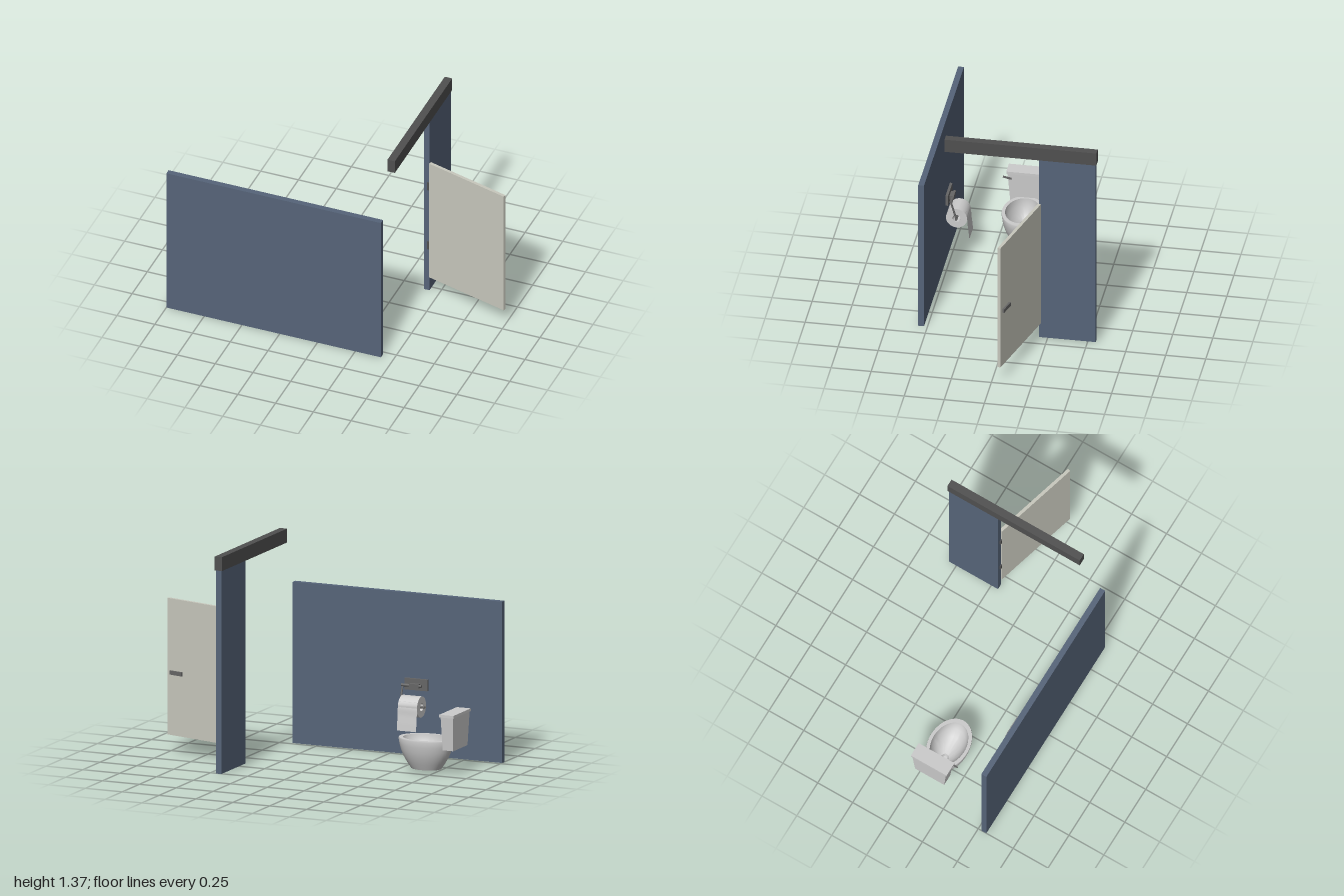
import * as THREE from 'three';
import { toCreasedNormals } from 'three/addons/utils/BufferGeometryUtils.js';

const mat = (color, extra = {}) => new THREE.MeshStandardMaterial({ color, ...extra });
const blue = mat(0x566479);
const cream = mat(0xc8c8bd);
const dark = mat(0x505050);
const metal = mat(0x666666);
const grey = mat(0xcccccc);
const paper = mat(0xcccccc, { side: THREE.DoubleSide });

function add(parent, name, geometry, material) {
  const mesh = new THREE.Mesh(geometry, material);
  mesh.name = name;
  parent.add(mesh);
  return mesh;
}

// Box given by its low and high corners
function box(parent, name, material, [x0, y0, z0], [x1, y1, z1]) {
  const mesh = add(parent, name, new THREE.BoxGeometry(x1 - x0, y1 - y0, z1 - z0), material);
  mesh.position.set((x0 + x1) / 2, (y0 + y1) / 2, (z0 + z1) / 2);
  return mesh;
}

// Round rod between two points
function rod(parent, name, material, a, b, radius) {
  const from = new THREE.Vector3(...a), to = new THREE.Vector3(...b);
  const dir = to.clone().sub(from);
  const mesh = add(parent, name, new THREE.CylinderGeometry(radius, radius, dir.length(), 16), material);
  mesh.position.copy(from).add(to).multiplyScalar(0.5);
  mesh.quaternion.setFromUnitVectors(new THREE.Vector3(0, 1, 0), dir.normalize());
  return mesh;
}

function group(parent, name) {
  const g = new THREE.Group();
  g.name = name;
  parent.add(g);
  return g;
}

// Oval surface from [radius along x, height, x shift] rows
function ovalSurface(rows) {
  const geo = new THREE.LatheGeometry(rows.map(([r, y]) => new THREE.Vector2(r, y)), 48);
  const pos = geo.attributes.position;
  for (let i = 0; i < pos.count; i++) {
    pos.setX(i, pos.getX(i) + (rows[i % rows.length][2] || 0));
    pos.setZ(i, pos.getZ(i) * 0.72);
  }
  geo.computeVertexNormals();
  return toCreasedNormals(geo, 0.6);
}

function buildToilet(root) {
  const toilet = group(root, 'toilet');
  toilet.position.set(-0.682, 0, 0.1);

  // Bowl: foot, outer wall, rim and offset basin
  add(toilet, 'bowl', ovalSurface([
    [0, 0.02], [0.098, 0.02], [0.122, 0.055], [0.146, 0.095], [0.163, 0.135],
    [0.172, 0.17], [0.178, 0.205], [0.176, 0.212], [0.148, 0.212],
    [0.145, 0.19, -0.002], [0.132, 0.16, -0.008], [0.105, 0.125, -0.022],
    [0.07, 0.1, -0.042], [0.035, 0.085, -0.06], [0.03, 0.06, -0.062], [0, 0.055, -0.062],
  ]), grey);

  // Tank narrows towards its base
  const tank = new THREE.BoxGeometry(0.084, 0.21, 0.242);
  const pos = tank.attributes.position;
  for (let i = 0; i < pos.count; i++) {
    if (pos.getY(i) < 0) {
      pos.setX(i, pos.getX(i) * 0.85);
      pos.setZ(i, pos.getZ(i) * 0.86);
    }
  }
  tank.computeVertexNormals();
  add(toilet, 'tank', tank, grey).position.set(-0.196, 0.27, 0);
  box(toilet, 'tankLid', grey, [-0.243, 0.375, -0.128], [-0.148, 0.392, 0.128]);

  const lever = add(toilet, 'flushLever', new THREE.BoxGeometry(0.007, 0.011, 0.056), metal);
  lever.position.set(-0.149, 0.348, 0.122);
  lever.rotation.x = -0.2;
}

function buildPaperHolder(root) {
  const holder = group(root, 'paperHolder');
  box(holder, 'wallPlate', metal, [-0.5, 0.408, 0.506], [-0.345, 0.48, 0.523]);
  box(holder, 'bracket', metal, [-0.452, 0.426, 0.478], [-0.39, 0.452, 0.508]);
  rod(holder, 'topBar', metal, [-0.47, 0.44, 0.487], [-0.335, 0.44, 0.487], 0.009);
  rod(holder, 'arm', metal, [-0.341, 0.445, 0.49], [-0.341, 0.318, 0.453], 0.006);
  rod(holder, 'spindle', metal, [-0.508, 0.318, 0.455], [-0.337, 0.318, 0.455], 0.008);

  // Roll with a hollow core
  const ring = new THREE.Shape().absarc(0, 0, 0.066, 0, Math.PI * 2, false);
  ring.holes.push(new THREE.Path().absarc(0, 0, 0.025, 0, Math.PI * 2, true));
  const rollGeo = new THREE.ExtrudeGeometry(ring, { depth: 0.13, bevelEnabled: false, curveSegments: 24 });
  rollGeo.rotateY(Math.PI / 2);
  add(holder, 'paperRoll', toCreasedNormals(rollGeo, 0.6), grey).position.set(-0.485, 0.318, 0.455);

  // Loose sheet hanging off the roll
  const fall = new THREE.CatmullRomCurve3([
    [0.4, 0.355], [0.388, 0.315], [0.385, 0.27], [0.379, 0.22], [0.375, 0.175],
  ].map(([z, y]) => new THREE.Vector3(0, y, z)));
  const sheet = new THREE.PlaneGeometry(0.13, 1, 1, 16);
  const pos = sheet.attributes.position;
  for (let i = 0; i < pos.count; i++) {
    const p = fall.getPoint(0.5 - pos.getY(i));
    pos.setXYZ(i, pos.getX(i) - 0.42, p.y, p.z);
  }
  sheet.computeVertexNormals();
  add(holder, 'paperSheet', sheet, paper);
}

function buildDoor(root) {
  // Door swung open about its hinge edge
  const door = group(root, 'door');
  door.position.set(0.441, 0, -0.202);
  door.rotation.y = -0.272;
  box(door, 'doorPanel', cream, [0, 0.113, -0.01], [0.577, 0.97, 0.01]);
  box(door, 'latch', metal, [0.455, 0.494, -0.022], [0.55, 0.519, -0.009]);
  for (const y of [0.35, 0.795]) {
    box(root, 'hinge', dark, [0.424, y - 0.028, -0.21], [0.443, y + 0.028, -0.192]);
  }
}

export function createModel() {
  const root = new THREE.Group();
  root.name = 'restroomStall';
  box(root, 'sidePanel', blue, [-1, 0, 0.522], [0.42, 1.012, 0.558]);
  box(root, 'frontPost', blue, [0.403, 0.01, -0.552], [0.438, 1.288, -0.2]);
  box(root, 'headRail', dark, [0.396, 1.286, -0.558], [0.445, 1.373, 0.39]);
  buildDoor(root);
  buildToilet(root);
  buildPaperHolder(root);
  return root;
}
